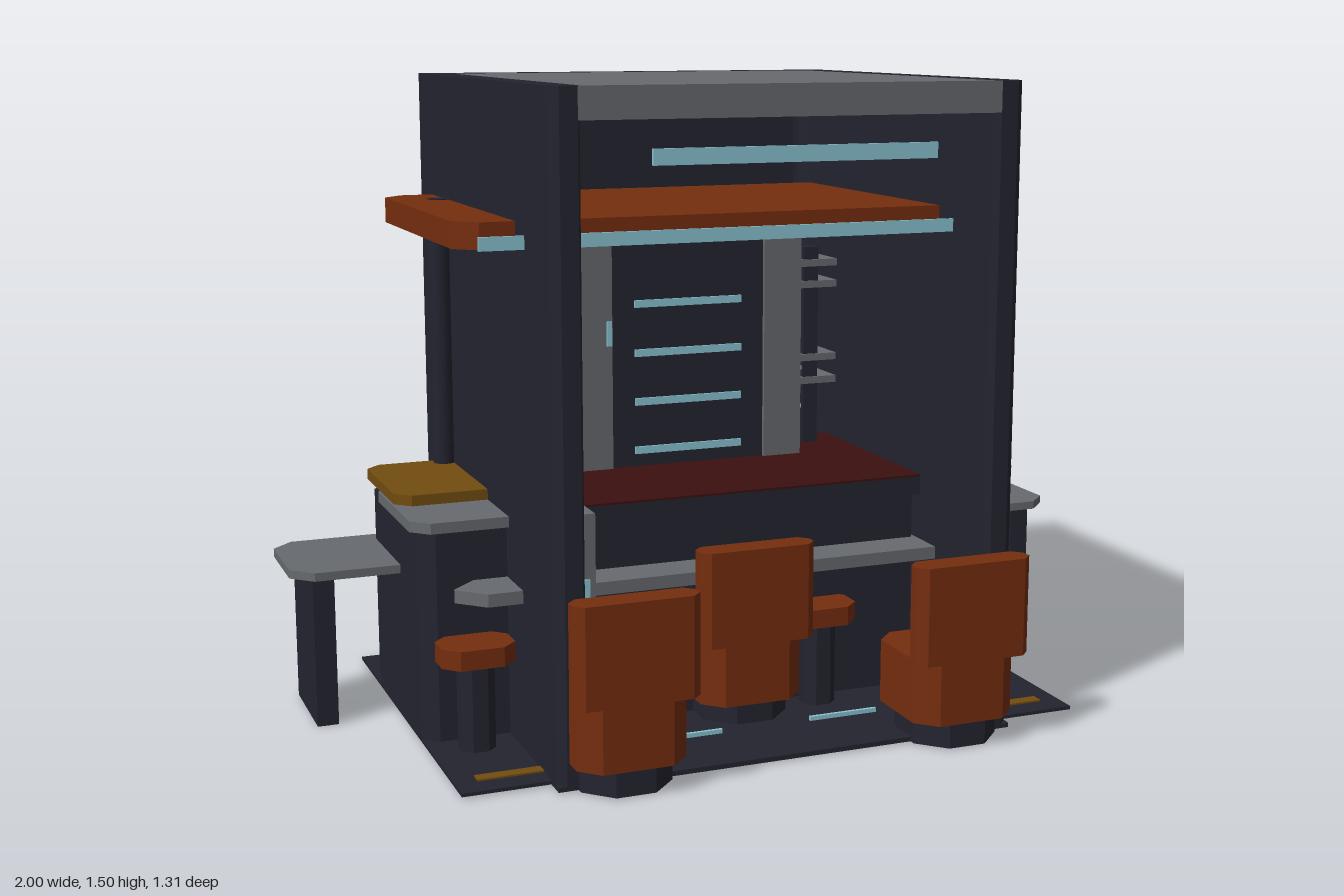
import * as THREE from 'three';

const mat = (name, color) => {
  const m = new THREE.MeshStandardMaterial({ color });
  m.name = name;
  return m;
};

export function createModel() {
  const root = new THREE.Group();
  root.name = 'serviceKiosk';
  const navy = mat('navy', 0x242430), grey = mat('grey', 0x676a6e);
  const orange = mat('rust orange', 0x762e0f), ochre = mat('ochre', 0x724d10);
  const cyan = mat('pale cyan', 0x8ac5d2), maroon = mat('maroon', 0x3a100f);

  const add = (name, geo, m) => {
    const mesh = new THREE.Mesh(geo, m);
    mesh.name = name;
    root.add(mesh);
    return mesh;
  };
  // Extrudes a plan shape (x, z) from y0 up to y1
  const rise = (name, shape, y0, y1, m) => {
    const g = new THREE.ExtrudeGeometry(shape, { depth: y1 - y0, bevelEnabled: false, curveSegments: 6 });
    g.rotateX(Math.PI / 2).translate(0, y1, 0);
    return add(name, g, m);
  };
  const box = (name, x0, x1, y0, y1, z0, z1, m) => add(name,
    new THREE.BoxGeometry(x1 - x0, y1 - y0, z1 - z0)
      .translate((x0 + x1) / 2, (y0 + y1) / 2, (z0 + z1) / 2), m);
  // Slab with four clipped corners in plan
  const slab = (name, x0, x1, y0, y1, z0, z1, c, m) => rise(name, new THREE.Shape([
    [x0 + c, z0], [x1 - c, z0], [x1, z0 + c], [x1, z1 - c],
    [x1 - c, z1], [x0 + c, z1], [x0, z1 - c], [x0, z0 + c],
  ].map(([x, z]) => new THREE.Vector2(x, z))), y0, y1, m);
  // Orders a mirrored pair of x values
  const mx = (s, a, b) => (s > 0 ? [a, b] : [-b, -a]);

  // Floor and the light panel below it
  box('floorPlate', -0.75, 0.75, 0.004, 0.012, -0.5, 0.5, navy);
  box('shellFloor', -0.55, 0.55, 0.003, 0.014, -0.55, 0.55, navy);
  box('undersideLight', -0.24, 0.24, 0, 0.003, -0.24, 0.24, cyan);

  // U-shaped shell, open to the front
  const u = new THREE.Shape();
  u.moveTo(-0.55, -0.55);
  u.lineTo(0.55, -0.55);
  u.lineTo(0.55, 0.53);
  u.lineTo(0.53, 0.55);
  u.lineTo(0.49, 0.55);
  u.lineTo(0.48, 0.53);
  u.lineTo(0.48, -0.44);
  u.quadraticCurveTo(0.48, -0.48, 0.44, -0.48);
  u.lineTo(-0.44, -0.48);
  u.quadraticCurveTo(-0.48, -0.48, -0.48, -0.44);
  u.lineTo(-0.48, 0.53);
  u.lineTo(-0.49, 0.55);
  u.lineTo(-0.53, 0.55);
  u.lineTo(-0.55, 0.53);
  rise('shell', u, 0.01, 1.5, navy);

  // Roof fills the inside of the shell
  const r = new THREE.Shape();
  r.moveTo(-0.44, -0.48);
  r.lineTo(0.44, -0.48);
  r.quadraticCurveTo(0.48, -0.48, 0.48, -0.44);
  r.lineTo(0.48, 0.53);
  r.lineTo(0.49, 0.55);
  r.lineTo(-0.49, 0.55);
  r.lineTo(-0.48, 0.53);
  r.lineTo(-0.48, -0.44);
  r.quadraticCurveTo(-0.48, -0.48, -0.44, -0.48);
  rise('roof', r, 1.43, 1.5, grey);

  // Canopy and light bars
  slab('canopy', -0.68, 0.68, 1.145, 1.205, -0.44, 0.29, 0.05, orange);
  box('canopyLight', -0.65, 0.65, 1.15, 1.18, 0.35, 0.358, cyan);
  box('signLight', -0.33, 0.33, 1.335, 1.37, 0.548, 0.556, cyan);

  // Inner counter with ledge
  box('counterBody', -0.47, 0.47, 0.01, 0.5, -0.2, 0.2, navy);
  box('counterTop', -0.38, 0.47, 0.5, 0.545, -0.3, 0.24, navy);
  box('counterInlay', -0.38, 0.47, 0.545, 0.55, -0.3, 0.24, maroon);
  slab('counterLedge', -0.69, 0.69, 0.355, 0.385, 0.18, 0.305, 0.06, grey);

  // Tall cabinet with light strips
  box('cabinet', -0.2, 0.2, 0.5, 1.1, -0.3, -0.1, navy);
  for (let i = 0; i < 4; i++) {
    const y = 0.59 + i * 0.121;
    box('cabinetLight', -0.14, 0.14, y - 0.009, y + 0.009, -0.1, -0.094, cyan);
  }
  box('cabinetScreen', -0.215, -0.203, 0.855, 0.915, -0.09, -0.082, cyan);

  // Order terminal
  box('terminal', -0.47, -0.385, 0.012, 0.55, 0.22, 0.32, grey);
  box('terminalScreen', -0.455, -0.4, 0.26, 0.4, 0.32, 0.326, cyan);

  for (const s of [-1, 1]) {
    // Cabinet side posts
    box('cabinetPost', ...mx(s, 0.2, 0.3), 0.545, 1.1, -0.3, -0.09, grey);

    // Shelf rack with goods
    for (const y of [0.705, 0.765, 0.955, 1.01])
      box('shelf', ...mx(s, 0.29, 0.45), y, y + 0.018, -0.44, -0.2, grey);
    for (const y of [0.645, 0.745])
      box('shelfLight', ...mx(s, 0.29, 0.35), y, y + 0.01, -0.2, -0.193, cyan);
    for (const z of [-0.22, -0.4])
      box('shelfUpright', ...mx(s, 0.36, 0.4), 0.5, 1.06, z - 0.015, z + 0.015, navy);
    box('goodsUpper', ...mx(s, 0.3, 0.35), 0.783, 0.91, -0.38, -0.24, s > 0 ? ochre : orange);
    box('goodsLower', ...mx(s, 0.3, 0.35), 0.545, 0.64, -0.38, -0.24, s > 0 ? orange : ochre);

    // Canopy column
    add('column', new THREE.CylinderGeometry(0.027, 0.027, 1.196, 16)
      .translate(s * 0.57, 0.609, -0.3), navy);

    // Side counter
    slab('sideCounter', ...mx(s, 0.45, 0.75), 0.01, 0.505, -0.32, 0.18, 0.035, navy);
    slab('sideCounterTop', ...mx(s, 0.5, 0.77), 0.505, 0.53, -0.19, 0.2, 0.04, grey);
    slab('sideCounterEnd', ...mx(s, 0.5, 0.74), 0.505, 0.53, -0.345, -0.18, 0.03, navy);
    slab('tray', ...mx(s, 0.5, 0.765), 0.53, 0.555, -0.325, 0.025, 0.035, ochre);

    // Side table
    slab('sideTable', ...mx(s, 0.68, 1), 0.36, 0.38, -0.33, -0.025, 0.05, grey);
    box('sideTableLeg', ...mx(s, 0.9, 0.95), 0, 0.36, -0.3, -0.055, navy);

    // Floor markings
    for (const z of [0.43, -0.435])
      box('floorMarking', ...mx(s, 0.55, 0.7), 0.012, 0.016, z - 0.015, z + 0.015, ochre);

    // Stools
    for (const x of [0.2, 0.645]) {
      slab('stoolSeat', s * x - 0.085, s * x + 0.085, 0.215, 0.26, 0.175, 0.305, 0.035, orange);
      slab('stoolLeg', s * x - 0.04, s * x + 0.04, 0.01, 0.215, 0.2, 0.277, 0.022, navy);
    }
    box('kickLight', ...mx(s, 0.11, 0.28), 0.026, 0.036, 0.392, 0.4, cyan);
  }

  // Chairs; dir points from the seat to the backrest, z is its outer face
  const chair = (x, z, dir) => {
    const span = (a, b) => (dir > 0 ? [z - b, z - a] : [z + a, z + b]);
    slab('chairBack', x - 0.143, x + 0.143, 0.213, 0.44, ...span(0, 0.068), 0.022, orange);
    slab('chairSeat', x - 0.125, x + 0.125, 0.065, 0.213, ...span(0.013, 0.27), 0.045, orange);
    slab('chairBase', x - 0.105, x + 0.105, 0.003, 0.065, ...span(0.03, 0.25), 0.06, navy);
  };
  for (const x of [-0.4, 0.4]) {
    chair(x, 0.655, 1);
    chair(x, -0.655, -1);
  }
  chair(0, 0.36, 1);

  return root;
}
